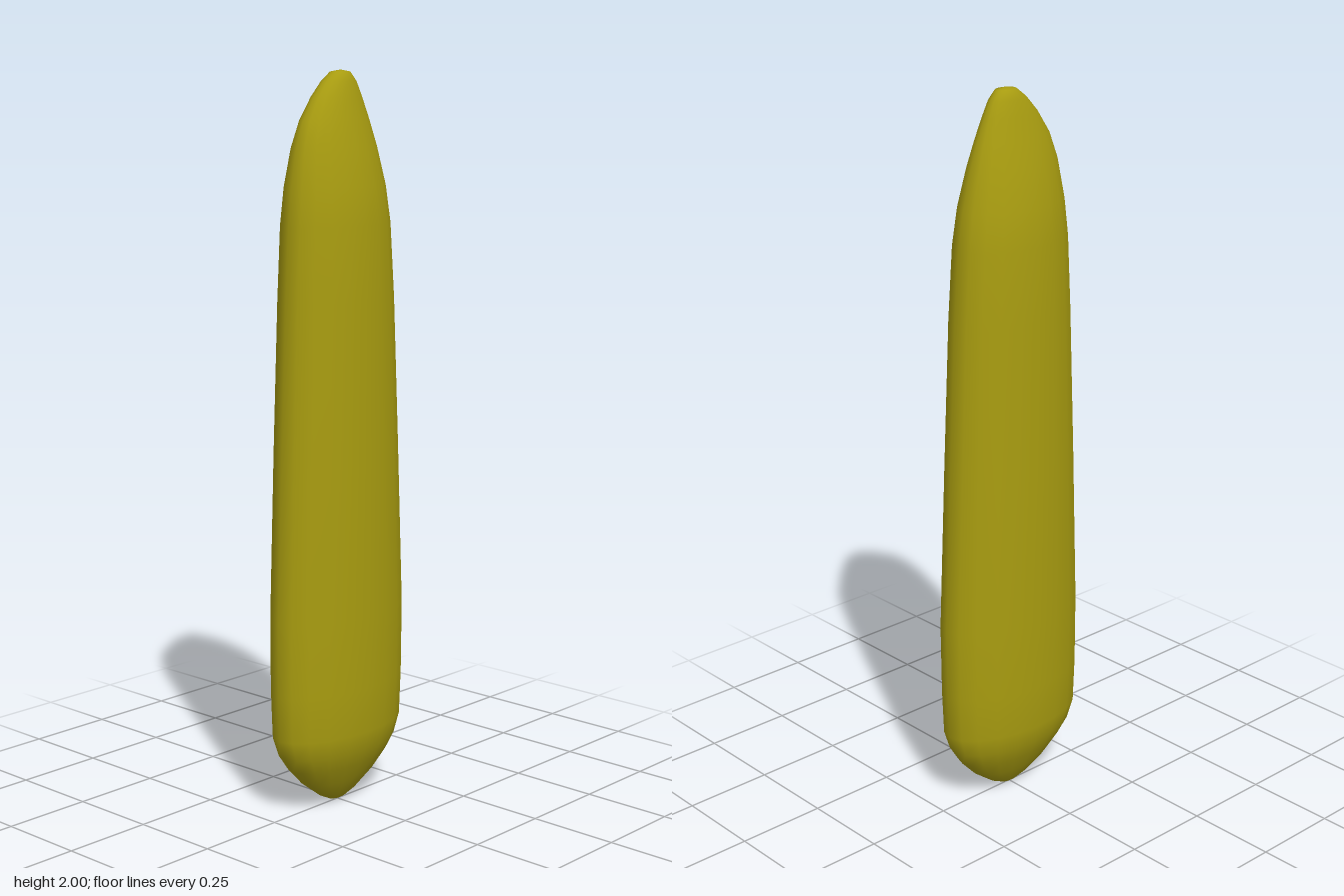
import * as THREE from 'three';

const SIDES = 20;

// Cross-sections from bottom to top: height, left edge (-x), right edge (+x), half depth
const SECTIONS = [
  [0.01, -0.03, 0.03, 0.012],
  [0.03, -0.07, 0.07, 0.03],
  [0.075, -0.13, 0.13, 0.06],
  [0.125, -0.177, 0.177, 0.086],
  [0.17, -0.208, 0.205, 0.106],
  [0.225, -0.228, 0.223, 0.118],
  [0.35, -0.232, 0.228, 0.122],
  [0.55, -0.232, 0.23, 0.123],
  [1.0, -0.215, 0.21, 0.118],
  [1.4, -0.198, 0.191, 0.112],
  [1.6, -0.186, 0.175, 0.108],
  [1.7, -0.175, 0.159, 0.098],
  [1.8, -0.156, 0.133, 0.078],
  [1.87, -0.13, 0.109, 0.061],
  [1.93, -0.09, 0.084, 0.045],
  [1.97, -0.053, 0.064, 0.034],
  [1.995, -0.02, 0.042, 0.022],
];

// Smooth skin over elliptical rings, closed by a point at each end
function loft(sections, bottom, top) {
  const positions = [];
  const index = [];
  for (const [y, x0, x1, depth] of sections) {
    for (let i = 0; i < SIDES; i++) {
      const a = (i / SIDES) * Math.PI * 2;
      positions.push((x0 + x1) / 2 + ((x1 - x0) / 2) * Math.cos(a), y, depth * Math.sin(a));
    }
  }
  const last = (sections.length - 1) * SIDES;
  const bottomId = last + SIDES;
  positions.push(...bottom, ...top);
  for (let i = 0; i < SIDES; i++) {
    const j = (i + 1) % SIDES;
    for (let r = 0; r < last; r += SIDES) {
      const a = r + i, b = r + j, c = a + SIDES, d = b + SIDES;
      index.push(a, c, b, b, c, d);
    }
    index.push(bottomId, i, j, bottomId + 1, last + j, last + i);
  }
  const geometry = new THREE.BufferGeometry();
  geometry.setAttribute('position', new THREE.Float32BufferAttribute(positions, 3));
  geometry.setIndex(index);
  geometry.computeVertexNormals();
  return geometry;
}

export function createModel() {
  const group = new THREE.Group();
  const material = new THREE.MeshStandardMaterial({ color: 0xa89c10 });
  const blade = new THREE.Mesh(loft(SECTIONS, [0, 0.003, 0], [0.012, 2, 0]), material);
  blade.name = 'blade';
  group.add(blade);
  return group;
}
